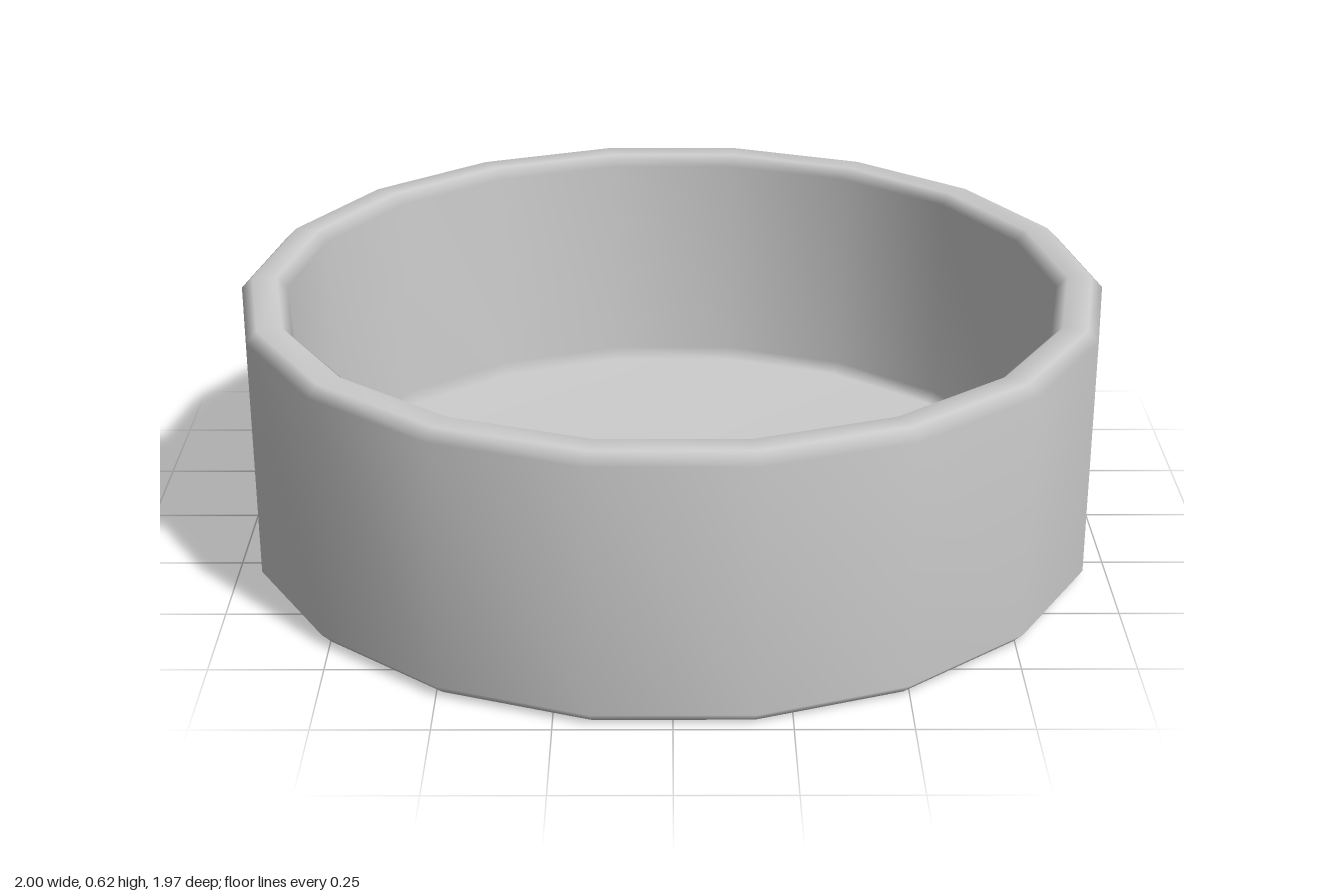
import * as THREE from 'three';
import { mergeVertices } from 'three/addons/utils/BufferGeometryUtils.js';

const SIDES = 18;
const HEIGHT = 0.615;
const OUTER = 1;      // outer wall radius
const INNER = 0.893;  // inner wall radius
const FLOOR = 0.05;   // height of the inside floor
const BEVEL = 0.025;

export function createModel() {
  const group = new THREE.Group();
  group.name = 'roundDish';

  // Closed section: underside, outer wall, rim, inner wall, inside floor
  const profile = [
    [0, 0],
    [OUTER - BEVEL, 0],
    [OUTER, BEVEL],
    [OUTER, HEIGHT - BEVEL],
    [OUTER - BEVEL, HEIGHT],
    [INNER + BEVEL, HEIGHT],
    [INNER, HEIGHT - BEVEL],
    [INNER, FLOOR + BEVEL],
    [INNER - BEVEL, FLOOR],
    [0, FLOOR],
  ].map(([r, y]) => new THREE.Vector2(r, y));

  // Start at +x so that corners fall on the x axis
  const lathe = new THREE.LatheGeometry(profile, SIDES, Math.PI / 2);

  // Area-weighted normals keep walls and floor even, with soft bevels
  lathe.deleteAttribute('normal');
  lathe.deleteAttribute('uv');
  const geometry = mergeVertices(lathe);
  geometry.computeVertexNormals();

  const dish = new THREE.Mesh(geometry, new THREE.MeshStandardMaterial({ color: 0xcccccc }));
  dish.name = 'dish';
  group.add(dish);
  return group;
}
